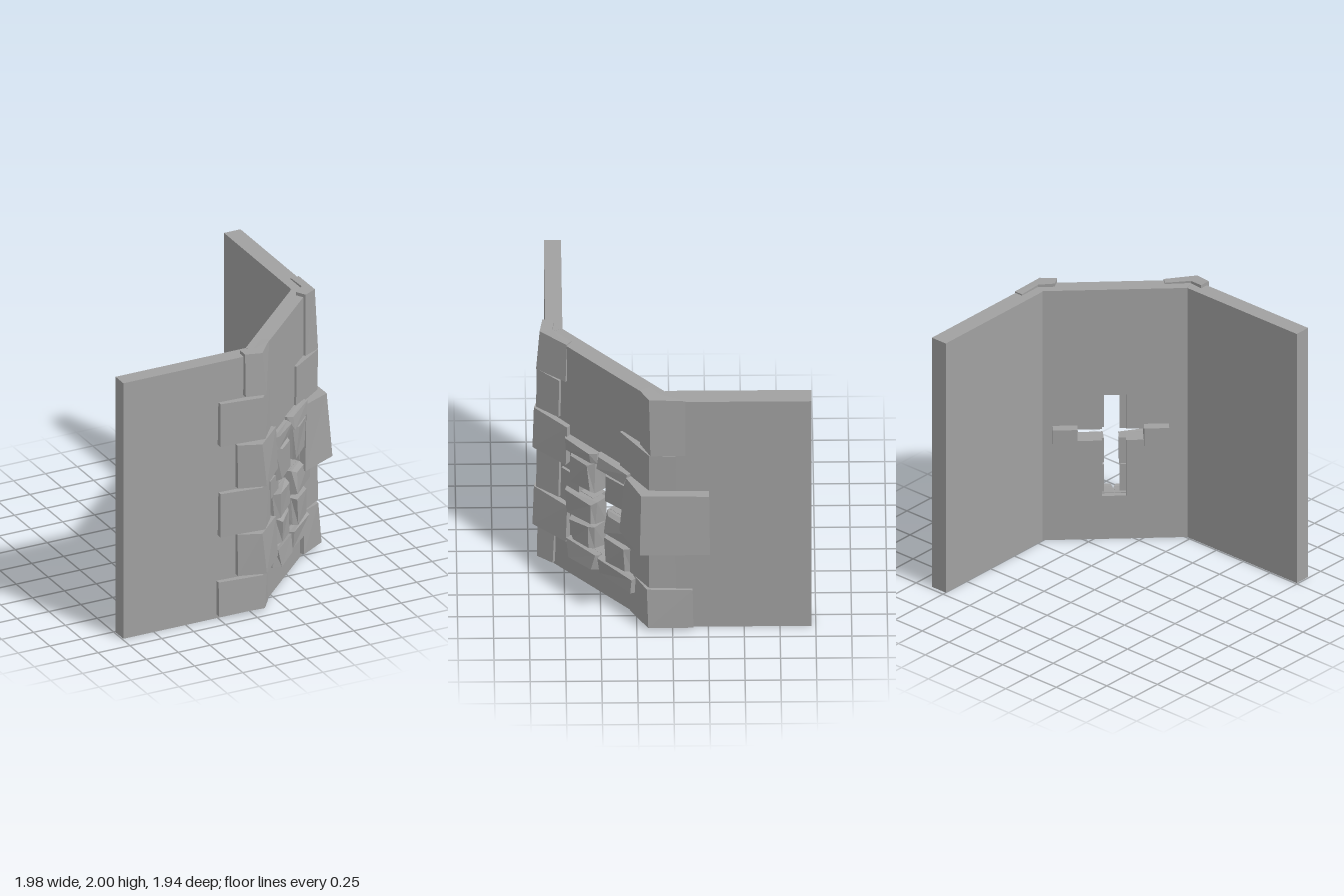
import * as THREE from 'three';

const V = (x, y, z) => new THREE.Vector3(x, y, z);
const material = new THREE.MeshStandardMaterial({ color: 0xa0a0a0, flatShading: true });

let seed = 7;
const rand = (a, b) => {
  seed = (seed * 16807) % 2147483647;
  return a + (b - a) * seed / 2147483647;
};

function addMesh(parent, geometry, name) {
  const mesh = new THREE.Mesh(geometry, material);
  mesh.name = name;
  parent.add(mesh);
  return mesh;
}

// Solid between two loops with equal point counts, capped at both ends
function loft(base, top) {
  const n = base.length, f = n - 2, pts = [];
  for (let i = 0; i < n; i++) {
    const j = (i + 1) % n;
    pts.push(base[i], base[j], top[j], base[i], top[j], top[i]);
  }
  for (let k = 1; k < n - 1; k++) {
    const a = (f + k) % n, b = (f + k + 1) % n;
    pts.push(top[f], top[a], top[b], base[f], base[b], base[a]);
  }
  const g = new THREE.BufferGeometry().setFromPoints(pts);
  g.computeVertexNormals();
  return g;
}

const HEIGHT = 1.975, THICK = 0.12;
const A = V(0.08, 0, 0.88), B = V(0.88, 0, 0.1); // outer wall corners

function sideWall(parent, plan, name) {
  addMesh(parent, loft(plan.map(([x, z]) => V(x, 0, z)), plan.map(([x, z]) => V(x, HEIGHT, z))), name);
}

// Slanted middle wall with a cross-shaped loophole, in its own (along, up, outward) frame
function middleWall(parent) {
  const L = A.distanceTo(B);
  const shape = new THREE.Shape([[0, 0], [L, 0], [L, HEIGHT], [0, HEIGHT]].map(p => new THREE.Vector2(...p)));
  const cross = [[0.475, 0.34], [0.645, 0.34], [0.645, 0.78], [0.83, 0.78], [0.83, 0.87], [0.645, 0.87],
    [0.645, 1.14], [0.475, 1.14], [0.475, 0.87], [0.34, 0.87], [0.34, 0.78], [0.475, 0.78]];
  shape.holes.push(new THREE.Path(cross.map(p => new THREE.Vector2(...p))));
  const g = new THREE.ExtrudeGeometry(shape, { depth: THICK, bevelEnabled: false });
  g.translate(0, 0, -THICK);
  // Mitre the inner edges
  const p = g.attributes.position;
  for (let i = 0; i < p.count; i++) {
    if (p.getZ(i) > -0.01) continue;
    if (p.getX(i) < 0.01) p.setX(i, 0.05);
    else if (p.getX(i) > L - 0.01) p.setX(i, L - 0.05);
  }
  g.computeVertexNormals();
  addMesh(parent, g, 'middleWall');
}

// Rough stone: a block whose front is chipped inward unevenly
function roughStone(parent, [u0, u1, y0, y1], name) {
  const corners = [[u0, y0, 1, 1], [u1, y0, -1, 1], [u1, y1, -1, -1], [u0, y1, 1, -1]];
  const h = (y1 - y0) * 0.13;
  const back = corners.map(([u, y]) => V(u, y, -0.08));
  const mid = corners.map(([u, y, a, b]) => V(u + a * rand(0, 0.015), y + b * rand(0, 0.01), rand(0.01, 0.03)));
  const front = corners.map(([u, y, a, b]) => V(u + a * rand(0.01, 0.055), y + b * rand(0, h), rand(0.05, 0.07)));
  const stone = new THREE.Group();
  stone.name = name;
  addMesh(stone, loft(back, mid), 'stoneBody');
  addMesh(stone, loft(mid, front), 'stoneFace');
  parent.add(stone);
}

// Corner stone wrapping two walls: first end, corner and second end, at bottom and top
function cornerStone(parent, y0, y1, low, high, inner, name) {
  const ring = (pts, y, tilt) => {
    const [p1, c, p2] = pts;
    const plan = [p1, c, p2, ...inner(p1, p2)];
    const drop = [0, 0.5, 1, 1, 0.5, 0];
    return plan.map(([x, z], i) => V(x, y - tilt * drop[i], z));
  };
  addMesh(parent, loft(ring(low, y0, 0.005), ring(high, y1, 0.015)), name);
}

export function createModel() {
  const model = new THREE.Group();
  model.name = 'stoneWall';

  sideWall(model, [[-0.99, 0.88], [0.08, 0.88], [0.03, 0.76], [-0.99, 0.76]], 'rightSideWall');
  sideWall(model, [[0.88, 0.1], [0.88, -0.97], [0.75, -0.97], [0.75, 0.05]], 'leftSideWall');

  // Middle wall and window stones share a slanted frame
  const middle = new THREE.Group();
  middle.name = 'middleSection';
  const along = B.clone().sub(A).normalize(), up = V(0, 1, 0);
  const frame = new THREE.Matrix4().makeBasis(along, up, along.clone().cross(up)).setPosition(A);
  middle.applyMatrix4(frame);
  model.add(middle);
  middleWall(middle);

  // Window surround: along start, along end, bottom, top
  const stones = {
    lintel: [[0.21, 0.54, 1.12, 1.225], [0.545, 0.88, 1.13, 1.235]],
    upperJamb: [[0.28, 0.52, 0.855, 1.12], [0.63, 0.88, 0.865, 1.12]],
    lowerJamb: [[0.23, 0.525, 0.575, 0.78], [0.63, 0.99, 0.585, 0.78]],
    baseJamb: [[0.28, 0.52, 0.36, 0.57], [0.63, 0.88, 0.355, 0.57]],
    sill: [[0.24, 0.555, 0.2, 0.345], [0.56, 0.93, 0.205, 0.345]],
  };
  for (const [name, pair] of Object.entries(stones)) pair.forEach(s => roughStone(middle, s, name));

  // Blocks running right through the wall at the ends of the cross arms
  for (const u of [0.265, 0.905]) {
    const block = addMesh(middle, new THREE.BoxGeometry(0.175, 0.14, 0.21), 'throughBlock');
    block.position.set(u, 0.835, -0.085);
  }

  // Corner stones between the right side wall and the middle wall
  const innerA = (p1, p2) => [[p2[0] - 0.045, p2[1] - 0.035], [0.06, 0.83], [p1[0], 0.82]];
  const wide = [[-0.25, 0.92], [0.09, 0.945], [0.21, 0.79]];
  const wideTop = [[-0.245, 0.915], [0.075, 0.94], [0.205, 0.785]];
  const narrow = [[-0.11, 0.92], [0.09, 0.97], [0.295, 0.74]];
  const narrowTop = [[-0.11, 0.91], [0.06, 0.96], [0.285, 0.73]];
  [
    [0.03, 0.29, [[-0.26, 0.92], [0.09, 0.94], [0.17, 0.83]], [[-0.26, 0.915], [0.075, 0.935], [0.17, 0.82]]],
    [0.31, 0.625, narrow, narrowTop],
    [0.64, 0.97, wide, wideTop],
    [0.985, 1.315, narrow, narrowTop],
    [1.34, 1.665, wide, wideTop],
    [1.68, 2.0, [[-0.05, 0.92], [0.1, 0.945], [0.25, 0.74]], [[-0.045, 0.9], [0.08, 0.92], [0.23, 0.735]]],
  ].forEach(r => cornerStone(model, ...r, innerA, 'rightCornerStone'));

  // Corner stones between the middle wall and the left side wall
  const innerB = (p1, p2) => [[0.82, p2[1]], [0.82, 0.08], [p1[0] - 0.04, p1[1] - 0.07]];
  [
    [0.03, 0.35, [[0.73, 0.295], [0.93, 0.17], [0.925, -0.145]], [[0.74, 0.27], [0.9, 0.18], [0.9, -0.14]]],
    [0.365, 0.7, [[0.66, 0.34], [0.905, 0.165], [0.905, -0.025]], [[0.67, 0.33], [0.9, 0.165], [0.9, -0.02]]],
    [0.71, 1.205, [[0.7, 0.37], [0.985, 0.23], [0.98, -0.26]], [[0.73, 0.33], [0.945, 0.22], [0.945, -0.255]]],
    [1.215, 1.53, [[0.63, 0.365], [0.9, 0.165], [0.9, -0.025]], [[0.635, 0.365], [0.905, 0.165], [0.905, -0.02]]],
    [1.525, 2.0, [[0.775, 0.225], [0.91, 0.155], [0.905, -0.09]], [[0.775, 0.23], [0.88, 0.165], [0.885, -0.09]]],
  ].forEach(r => cornerStone(model, ...r, innerB, 'leftCornerStone'));

  return model;
}
